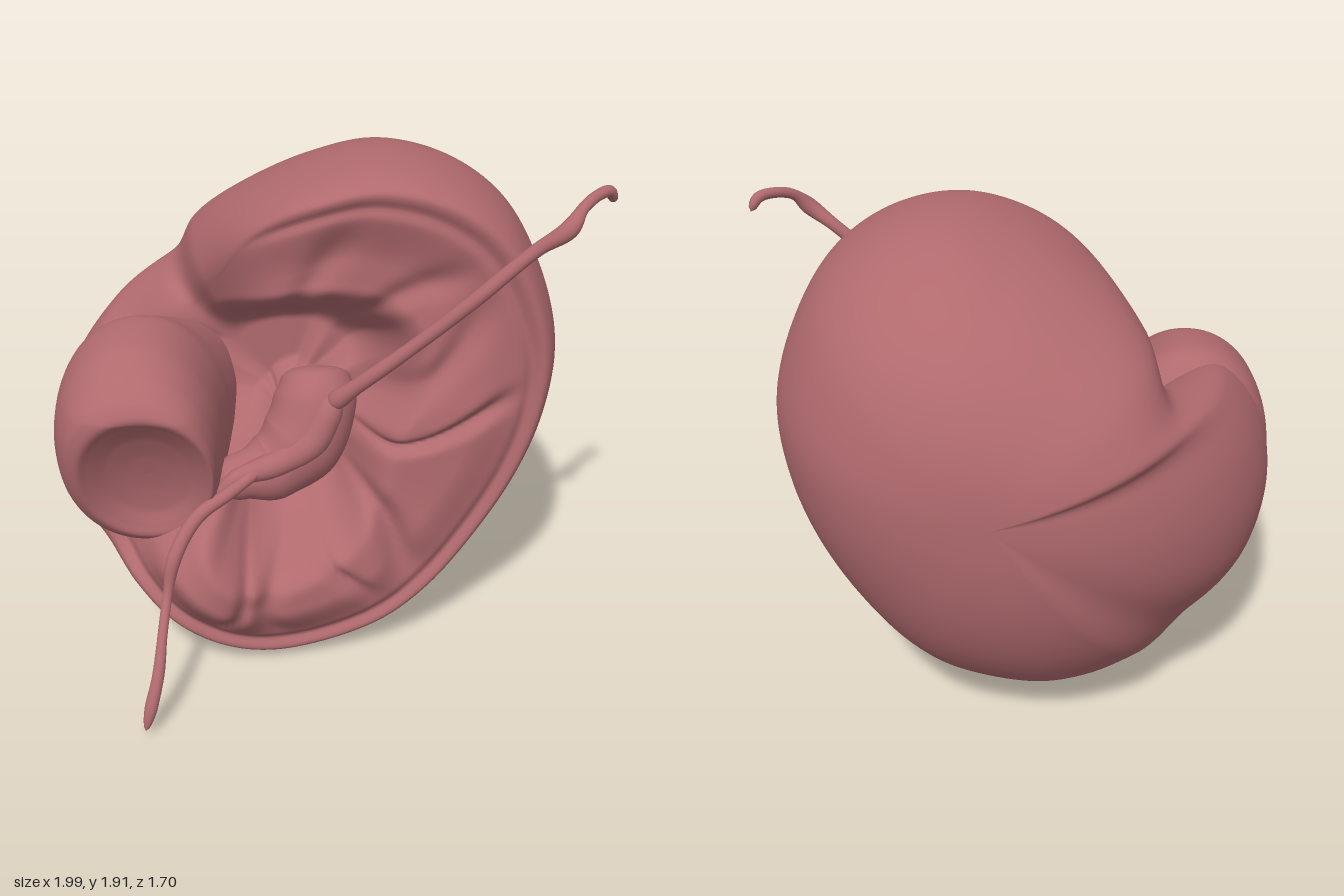
import * as THREE from 'three';

const flesh = new THREE.MeshStandardMaterial({ color: 0xb06a6e });
flesh.name = 'flesh';

const smooth = THREE.MathUtils.smoothstep;
const lerp = THREE.MathUtils.lerp;
const V = (x, y, z) => new THREE.Vector3(x, y, z);

// Skin over closed loops of points
function loft(name, rows) {
  const n = rows[0].length, index = [];
  for (let i = 0; i < rows.length - 1; i++) {
    for (let j = 0; j < n; j++) {
      const a = i * n + j, b = i * n + (j + 1) % n;
      index.push(a, b, a + n, b, b + n, a + n);
    }
  }
  const geometry = new THREE.BufferGeometry().setFromPoints(rows.flat());
  geometry.setIndex(index);
  geometry.computeVertexNormals();
  const mesh = new THREE.Mesh(geometry, flesh);
  mesh.name = name;
  return mesh;
}

// Round strand through points [x, y, z, radius], closed at both ends
function strand(name, pts, steps = 60, sides = 16) {
  const curve = new THREE.CatmullRomCurve3(pts.map(p => V(p[0], p[1], p[2])));
  const frames = curve.computeFrenetFrames(steps, false);
  const rows = [];
  for (let i = 0; i <= steps; i++) {
    const u = curve.getUtoTmapping(i / steps);
    const k = Math.min(u * (pts.length - 1), pts.length - 1.0001), f = Math.floor(k);
    let r = lerp(pts[f][3], pts[f + 1][3], smooth(k - f, 0, 1));
    const end = Math.min(i, steps - i) / 4;
    if (end < 1) r *= Math.sqrt(1 - (1 - end) ** 2);
    const c = curve.getPointAt(i / steps), row = [];
    for (let j = 0; j < sides; j++) {
      const a = j / sides * Math.PI * 2;
      row.push(c.clone().addScaledVector(frames.normals[i], r * Math.cos(a))
        .addScaledVector(frames.binormals[i], r * Math.sin(a)));
    }
    rows.push(row);
  }
  return loft(name, rows);
}

// Outline of the body: x, y, rim z, fold height, inner fold edge, floor z
const outline = [
  [0.85, 1.25, 0.30, 0.03, 0.38, 0], [0.78, 1.5, 0.31, 0, 0.42, 0],
  [0.65, 1.72, 0.32, -0.03, 0.44, -0.1], [0.45, 1.86, 0.33, -0.05, 0.44, -0.1],
  [0.2, 1.915, 0.33, -0.05, 0.44, -0.15], [-0.05, 1.86, 0.32, -0.04, 0.46, -0.15],
  [-0.3, 1.73, 0.22, -0.02, 0.5, -0.15], [-0.5, 1.55, 0.02, 0, 0.55, -0.15],
  [-0.59, 1.37, -0.12, 0, 0.6, -0.15], [-0.8, 1.3, 0.15, 0, 0.75, -0.12],
  [-0.95, 1.1, 0.28, 0, 0.75, -0.1], [-1, 0.86, 0.3, 0, 0.75, -0.05],
  [-0.95, 0.62, 0.27, 0, 0.7, 0], [-0.85, 0.45, 0.28, 0.08, 0.45, 0.08],
  [-0.74, 0.31, 0.39, 0.16, 0.38, 0.12], [-0.6, 0.17, 0.45, 0.16, 0.42, 0.12],
  [-0.4, 0.05, 0.45, 0.14, 0.45, 0.12], [-0.17, 0.005, 0.42, 0.1, 0.45, 0.1],
  [0.2, 0.09, 0.37, 0.07, 0.43, 0.08], [0.4, 0.23, 0.34, 0.06, 0.4, 0.05],
  [0.6, 0.48, 0.31, 0.05, 0.35, 0.05], [0.75, 0.75, 0.3, 0.05, 0.3, 0.03],
  [0.83, 1.0, 0.3, 0.05, 0.3, 0.02],
];
// Creases between folds: direction in degrees, depth, width
const creases = [[30, 0.035, 5], [5, 0.05, 3], [-42, 0.06, 6], [-70, 0.03, 3], [-91, 0.05, 5],
  [-113, 0.04, 3], [52, 0.03, 4], [84, 0.03, 6]];

// Height of the hollow front at share s from its middle (0) to the rim (1)
function frontHeight(s, angle, rim, [fold, edge, floor]) {
  let z = lerp(floor, rim, smooth(s, edge - 0.15, edge + 0.15));
  const bump = smooth(s, edge - 0.12, edge + 0.18) * (1 - smooth(s, 0.68, 0.9));
  z += fold * bump;
  for (const [direction, depth, width] of creases) {
    const d = (angle - direction + 7 * Math.sin(7 * s + direction)) / width;
    z -= depth * bump * Math.exp(-d * d);
  }
  // Shallow groove just inside the rim
  const g = (s - 0.885) / 0.022;
  return z - smooth(rim, 0.2, 0.32) * 0.018 * Math.exp(-g * g);
}

function buildBody() {
  const n = 240, rows = [];
  const path = new THREE.CatmullRomCurve3(outline.map(p => V(p[0], p[1], p[2])), true);
  const traits = new THREE.CatmullRomCurve3(outline.map(p => V(p[3], p[4], p[5])), true);
  const cx = -0.15, cy = 0.9;
  const loop = [];
  for (let j = 0; j < n; j++) {
    const p = path.getPoint(j / n), side = smooth(-p.x, 0.6, 0.85);
    loop.push({
      x: p.x, y: p.y, rim: p.z,
      widest: p.z - lerp(0.32, 0.17, side),
      power: lerp(0.88, 1.06, side),
      inset: 0.07 + 0.13 * (1 - side) * (1 - smooth(p.z, 0.05, 0.31)),
      angle: Math.atan2(p.y - cy, p.x - cx) * 180 / Math.PI,
      trait: traits.getPoint(j / n).toArray(),
    });
  }
  // Rounded back, from its pole to the widest loop
  for (let i = 0; i <= 40; i++) {
    const a = i / 40 * Math.PI / 2;
    rows.push(loop.map(p => {
      const k = Math.pow(Math.sin(a), p.power);
      return V(lerp(0, p.x, k), lerp(1.12, p.y, k), p.widest - (p.widest + 0.85) * Math.cos(a));
    }));
  }
  // Wall curling in to the rim
  for (let i = 1; i <= 12; i++) {
    const a = i / 12 * Math.PI / 2;
    rows.push(loop.map(p => {
      const k = 1 - p.inset * (1 - Math.cos(a));
      return V(lerp(cx, p.x, k), lerp(cy, p.y, k), lerp(p.widest, p.rim, Math.sin(a)));
    }));
  }
  // Folded hollow front
  for (let i = 1; i <= 75; i++) {
    rows.push(loop.map(p => {
      const s = (1 - p.inset) * (1 - i / 75);
      const z = lerp(0.06, frontHeight(s, p.angle, p.rim, p.trait), smooth(s, 0, 0.15));
      return V(lerp(cx, p.x, s), lerp(cy, p.y, s), z);
    }));
  }
  return loft('foldedBody', rows);
}

// Side lobe: sections of z, xMin, xMax, yMin, yMax, ending in a dished front
const lobeSections = [
  [-0.5, -0.45, -0.44, 0.87, 0.88], [-0.45, -0.55, -0.32, 0.7, 1.04], [-0.2, -0.78, -0.32, 0.5, 1.2],
  [0, -0.94, -0.35, 0.46, 1.28], [0.15, -0.998, -0.365, 0.43, 1.335], [0.35, -0.99, -0.375, 0.45, 1.315],
  [0.49, -0.96, -0.385, 0.49, 1.255], [0.56, -0.925, -0.395, 0.535, 1.19], [0.582, -0.885, -0.41, 0.57, 1.14],
  [0.565, -0.85, -0.44, 0.61, 1.1], [0.535, -0.79, -0.49, 0.67, 1.03], [0.515, -0.71, -0.56, 0.77, 0.93],
  [0.51, -0.64, -0.635, 0.849, 0.85],
];

function buildLobe() {
  const mids = new THREE.CatmullRomCurve3(lobeSections.map(([z, a, b, c, d]) => V((a + b) / 2, (c + d) / 2, z)));
  const radii = new THREE.CatmullRomCurve3(lobeSections.map(([, a, b, c, d]) => V((b - a) / 2, (d - c) / 2, 0)));
  const rows = [], n = 96, steps = 84;
  for (let i = 0; i <= steps; i++) {
    const m = mids.getPoint(i / steps), r = radii.getPoint(i / steps), row = [];
    for (let j = 0; j < n; j++) {
      const a = j / n * Math.PI * 2, c = Math.cos(a), s = Math.sin(a);
      const x = m.x + r.x * Math.sign(c) * Math.abs(c) ** 0.95;
      const y = m.y + r.y * Math.sign(s) * Math.abs(s) ** 0.95;
      const lean = 0.33 * Math.max(0, 1.12 - y) * smooth(m.z, 0.05, 0.55);
      row.push(V(x, y, m.z - lean));
    }
    rows.push(row);
  }
  return loft('sideLobe', rows);
}

export function createModel() {
  const model = new THREE.Group();
  model.name = 'foldedOrgan';
  model.add(buildBody(), buildLobe());

  // Central mass and the ridge along it
  model.add(strand('centralMass', [[-0.04, 1.12, 0.1, 0.12], [-0.04, 1.0, 0.16, 0.155],
    [-0.09, 0.86, 0.2, 0.16], [-0.2, 0.77, 0.24, 0.13], [-0.32, 0.75, 0.28, 0.09], [-0.42, 0.74, 0.3, 0.06]], 60, 28));
  model.add(strand('centralRidge', [[0.03, 1.08, 0.27, 0.04], [0, 1.0, 0.29, 0.055],
    [-0.06, 0.9, 0.31, 0.06], [-0.18, 0.83, 0.33, 0.05], [-0.32, 0.79, 0.36, 0.035], [-0.41, 0.72, 0.38, 0.02]]));

  // Long upper cord with a knob and a hooked tip
  model.add(strand('upperCord', [[0.01, 1.04, 0.28, 0.04], [0.12, 1.15, 0.33, 0.028], [0.3, 1.31, 0.37, 0.025],
    [0.5, 1.5, 0.41, 0.026], [0.7, 1.68, 0.41, 0.024], [0.8, 1.755, 0.42, 0.032], [0.85, 1.815, 0.38, 0.02],
    [0.91, 1.84, 0.32, 0.02], [0.96, 1.835, 0.27, 0.021], [0.985, 1.79, 0.245, 0.022]], 90));

  // Lower cord hanging forward
  model.add(strand('lowerCord', [[-0.24, 0.82, 0.36, 0.02], [-0.36, 0.76, 0.43, 0.024], [-0.47, 0.7, 0.49, 0.026],
    [-0.55, 0.58, 0.56, 0.027], [-0.58, 0.44, 0.6, 0.018], [-0.595, 0.34, 0.69, 0.018], [-0.61, 0.22, 0.77, 0.022],
    [-0.635, 0.12, 0.815, 0.024], [-0.658, 0.03, 0.845, 0.014]], 90));
  return model;
}
